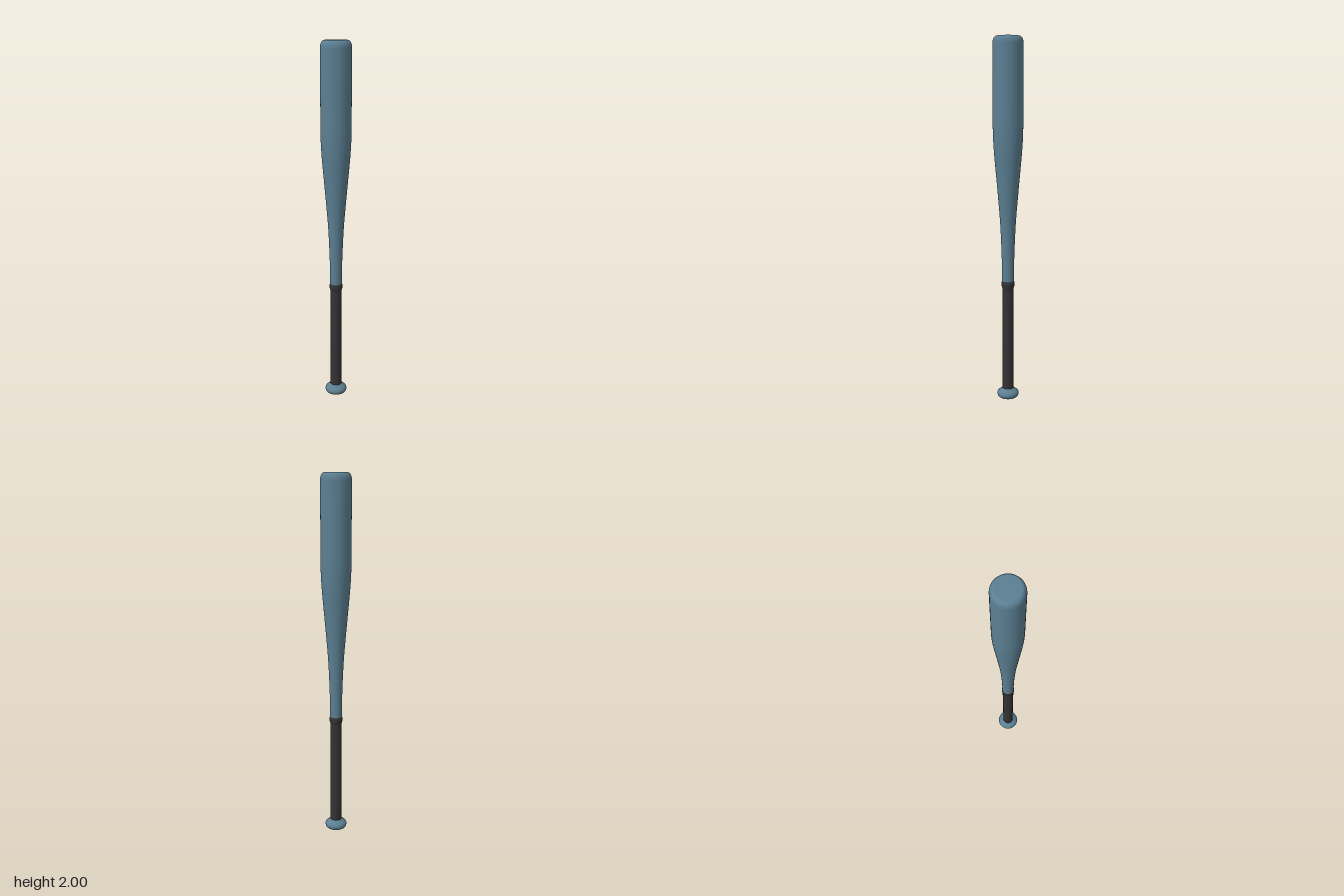
import * as THREE from 'three';

const SEGMENTS = 64;
const blue = new THREE.MeshStandardMaterial({ color: 0x5b7f92 });
const black = new THREE.MeshStandardMaterial({ color: 0x333333 });

// Turns a profile of [radius, height] pairs, listed from bottom to top
function lathe(name, profile, material) {
  const points = profile.map(([r, y]) => new THREE.Vector2(r, y));
  const mesh = new THREE.Mesh(new THREE.LatheGeometry(points, SEGMENTS), material);
  mesh.name = name;
  return mesh;
}

// Flat disc facing up or down
function disc(name, radius, y, up, material) {
  const geometry = new THREE.CircleGeometry(radius, SEGMENTS).rotateX(up ? -Math.PI / 2 : Math.PI / 2);
  const mesh = new THREE.Mesh(geometry, material);
  mesh.name = name;
  mesh.position.y = y;
  return mesh;
}

// Quarter-ellipse shoulder from the barrel wall to the flat end
function shoulder(outer, inner, y0, y1, steps = 8) {
  return Array.from({ length: steps + 1 }, (_, i) => {
    const a = (i / steps) * Math.PI / 2;
    return [inner + (outer - inner) * Math.cos(a), y0 + (y1 - y0) * Math.sin(a)];
  });
}

export function createModel() {
  const bat = new THREE.Group();
  bat.name = 'baseballBat';

  // Knob with a flat underside
  bat.add(lathe('knob', [
    [0.046, 0], [0.053, 0.004], [0.058, 0.011], [0.061, 0.02], [0.06, 0.028],
    [0.055, 0.036], [0.046, 0.043], [0.036, 0.049], [0.029, 0.056],
  ], blue));
  bat.add(disc('knobBase', 0.046, 0, false, blue));

  // Wrapped grip and the collar that ends it
  bat.add(lathe('grip', [[0.031, 0.045], [0.031, 0.35], [0.032, 0.65]], black));
  bat.add(lathe('gripCollar', [
    [0.031, 0.638], [0.034, 0.645], [0.036, 0.655], [0.036, 0.668], [0.034, 0.677], [0.031, 0.68],
  ], black));

  // Handle flaring gently into the straight barrel
  const taper = new THREE.SplineCurve([
    [0.033, 0.67], [0.034, 0.78], [0.037, 0.88], [0.044, 1.02], [0.059, 1.2],
    [0.074, 1.37], [0.08, 1.46], [0.082, 1.53],
  ].map(([r, y]) => new THREE.Vector2(r, y))).getPoints(32).map((p) => [p.x, p.y]);
  bat.add(lathe('barrel', [...taper, ...shoulder(0.082, 0.061, 1.96, 2)], blue));
  bat.add(disc('barrelEnd', 0.061, 2, true, blue));

  return bat;
}
